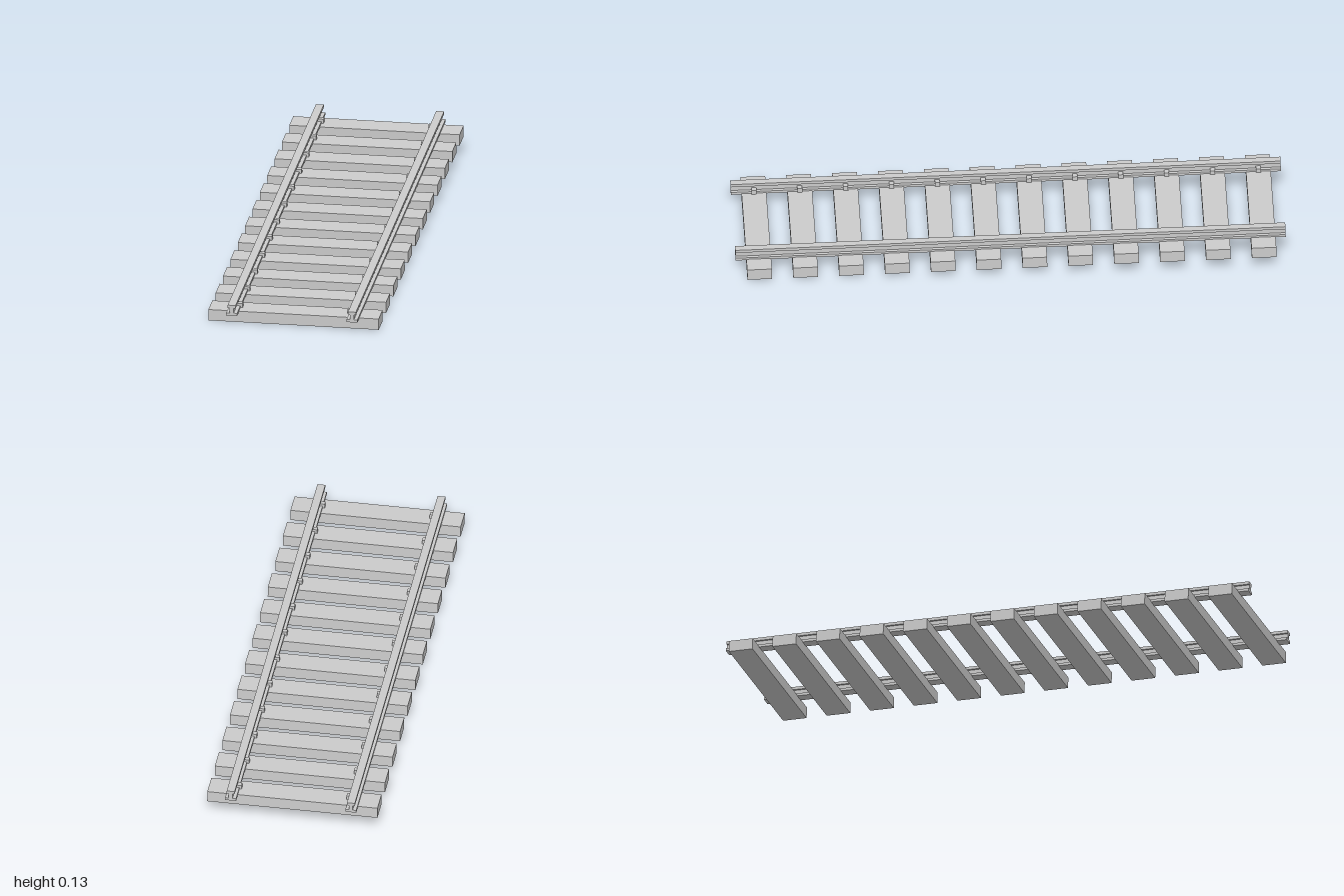
import * as THREE from 'three';

const SLOPE = 0.026;   // gentle rise towards the back
const RAIL_X = 0.221;  // rail centre line
const TIES = 12;

export function createModel() {
  const model = new THREE.Group();
  model.name = 'railwayTrack';
  const mat = new THREE.MeshStandardMaterial({ color: 0xcccccc, flatShading: true });

  // Everything sits on one tilted plane; local y = 0 is the top of the sleepers
  const track = new THREE.Group();
  track.name = 'slopedTrack';
  track.position.y = 0.067;
  track.rotation.x = SLOPE;
  model.add(track);

  const add = (name, geometry, x, y, z) => {
    const mesh = new THREE.Mesh(geometry, mat);
    mesh.name = name;
    mesh.position.set(x, y, z);
    track.add(mesh);
  };

  // Rail cross-section: wide foot, thin web, square head
  const half = [[0.02, -0.003], [0.02, 0.007], [0.007, 0.007], [0.007, 0.026], [0.0145, 0.026], [0.0145, 0.037]];
  const outline = [...half, ...half.map(([x, y]) => [-x, y]).reverse()];
  const profile = new THREE.Shape(outline.map(([x, y]) => new THREE.Vector2(x, y)));
  const railGeo = new THREE.ExtrudeGeometry(profile, { depth: 1.998, bevelEnabled: false });
  railGeo.translate(0, 0, -0.999);
  add('leftRail', railGeo, RAIL_X, 0, 0);
  add('rightRail', railGeo, -RAIL_X, 0, 0);

  // Sleepers, each with a clip on the inner side of both rails
  const tieGeo = new THREE.BoxGeometry(0.626, 0.042, 0.09);
  const clipGeo = new THREE.BoxGeometry(0.021, 0.018, 0.018);
  for (let i = 0; i < TIES; i++) {
    const z = 0.915 - (i * 1.832) / (TIES - 1);
    add('sleeper', tieGeo, 0, -0.021, z);
    for (const side of [1, -1]) add('railClip', clipGeo, side * 0.2035, 0.007, z);
  }
  return model;
}
